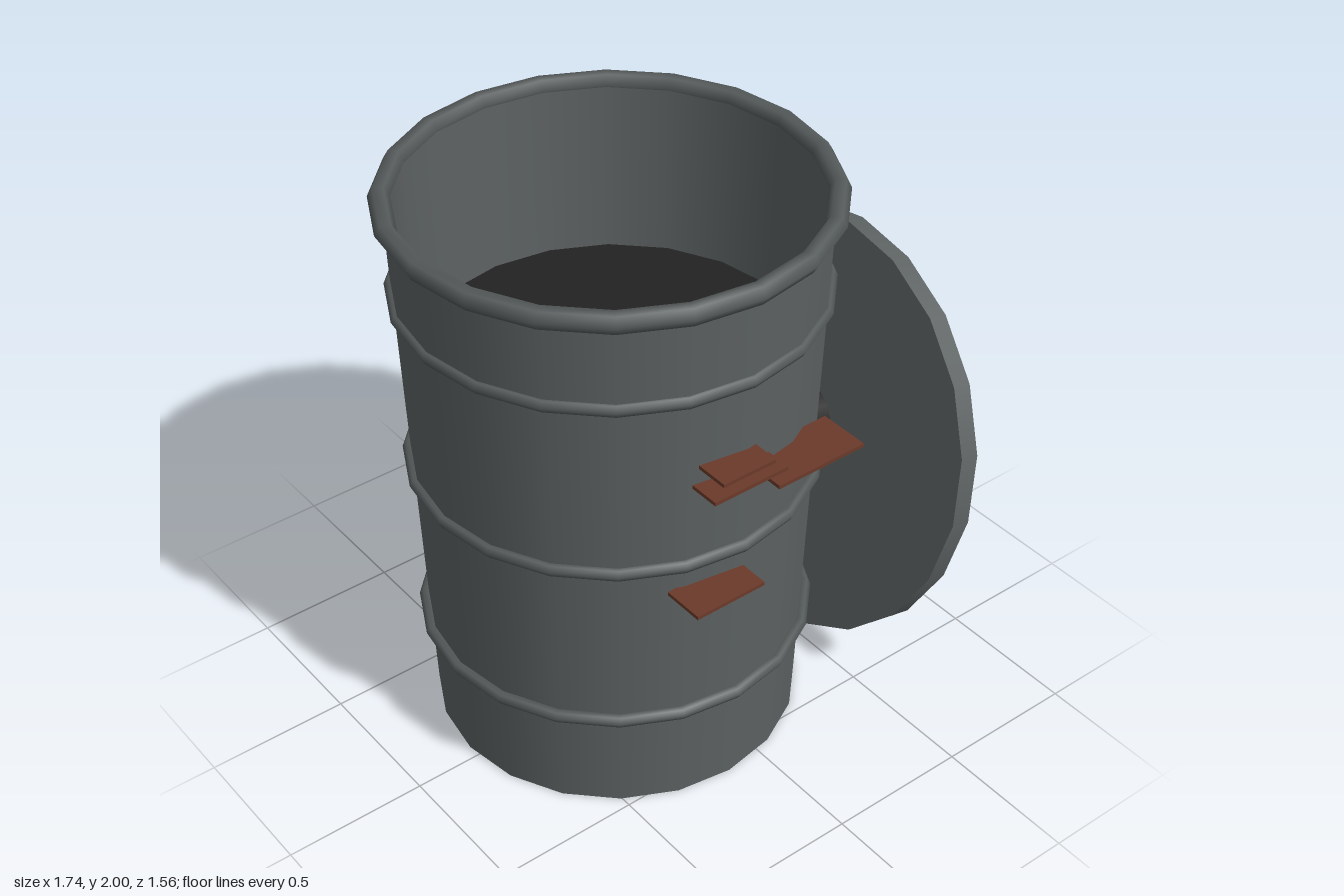
import * as THREE from 'three';

export function createModel() {
  const model = new THREE.Group();
  const paint = (name, color, side = THREE.FrontSide) => {
    const m = new THREE.MeshStandardMaterial({ color, side });
    m.name = name;
    return m;
  };
  const steel = paint('grey steel', 0x5c6161);
  const band = paint('darker steel', 0x555a5a);
  const black = paint('near black', 0x222222);
  const rust = paint('rust', 0x6b3a2a);
  const SIDES = 20;

  const add = (parent, name, geometry, material, x = 0, y = 0, z = 0) => {
    const mesh = new THREE.Mesh(geometry, material);
    mesh.name = name;
    mesh.position.set(x, y, z);
    parent.add(mesh);
    return mesh;
  };

  // Tapered open drum with an outer and an inner wall
  const barrel = new THREE.Group();
  barrel.name = 'barrel';
  barrel.position.set(-0.135, 0, -0.047);
  model.add(barrel);
  const wall = [[0.6, 0.005], [0.67, 1.97], [0.697, 1.97], [0.628, 0]];
  const outer = new THREE.CylinderGeometry(0.697, 0.628, 1.97, SIDES, 1, true);
  add(barrel, 'outerWall', outer, steel, 0, 0.985, 0);
  const inner = new THREE.LatheGeometry(
    wall.slice(0, 2).reverse().map(([r, y]) => new THREE.Vector2(r, y)), SIDES);
  add(barrel, 'innerWall', inner, steel);

  // Black underside and dark contents
  const base = add(barrel, 'underside', new THREE.CircleGeometry(0.628, SIDES), black);
  base.rotation.x = Math.PI / 2;
  add(barrel, 'contents', new THREE.CylinderGeometry(0.648, 0.6, 1.36, SIDES), black, 0, 0.69, 0);

  // Rolled rim and three hoops: height, ring radius, tube radius
  [['rim', 1.97, 0.7, 0.035], ['hoop', 1.655, 0.684, 0.023],
    ['hoop', 1.018, 0.667, 0.023], ['hoop', 0.382, 0.65, 0.023]].forEach(([name, y, r, t]) => {
    const ring = add(barrel, name, new THREE.TorusGeometry(r, t, 6, SIDES), band, 0, y, 0);
    ring.rotation.x = Math.PI / 2;
  });

  // Rust flakes standing out of the front: x range, y, z range
  [[-0.305, -0.105, 1.393, 0.575, 0.72], [-0.325, -0.04, 1.325, 0.575, 0.705],
    [-0.1, 0.24, 1.298, 0.555, 0.735], [-0.395, -0.13, 0.922, 0.57, 0.717]].forEach(
    ([x0, x1, y, z0, z1]) => {
      add(model, 'rustFlake', new THREE.BoxGeometry(x1 - x0, 0.013, z1 - z0), rust,
        (x0 + x1) / 2, y, (z0 + z1) / 2);
    });

  // Lid leaning on the barrel, its knob facing the wall
  const lid = new THREE.Group();
  lid.name = 'lid';
  lid.position.set(0.664, 0.796, 0.02);
  lid.rotation.z = Math.PI / 2 - THREE.MathUtils.degToRad(12.7);
  model.add(lid);
  add(lid, 'lidDisc', new THREE.CylinderGeometry(0.76, 0.76, 0.073, SIDES), steel);
  add(lid, 'lidKnob', new THREE.CylinderGeometry(0.152, 0.152, 0.066, 16), black, 0, 0.069, 0);

  return model;
}
